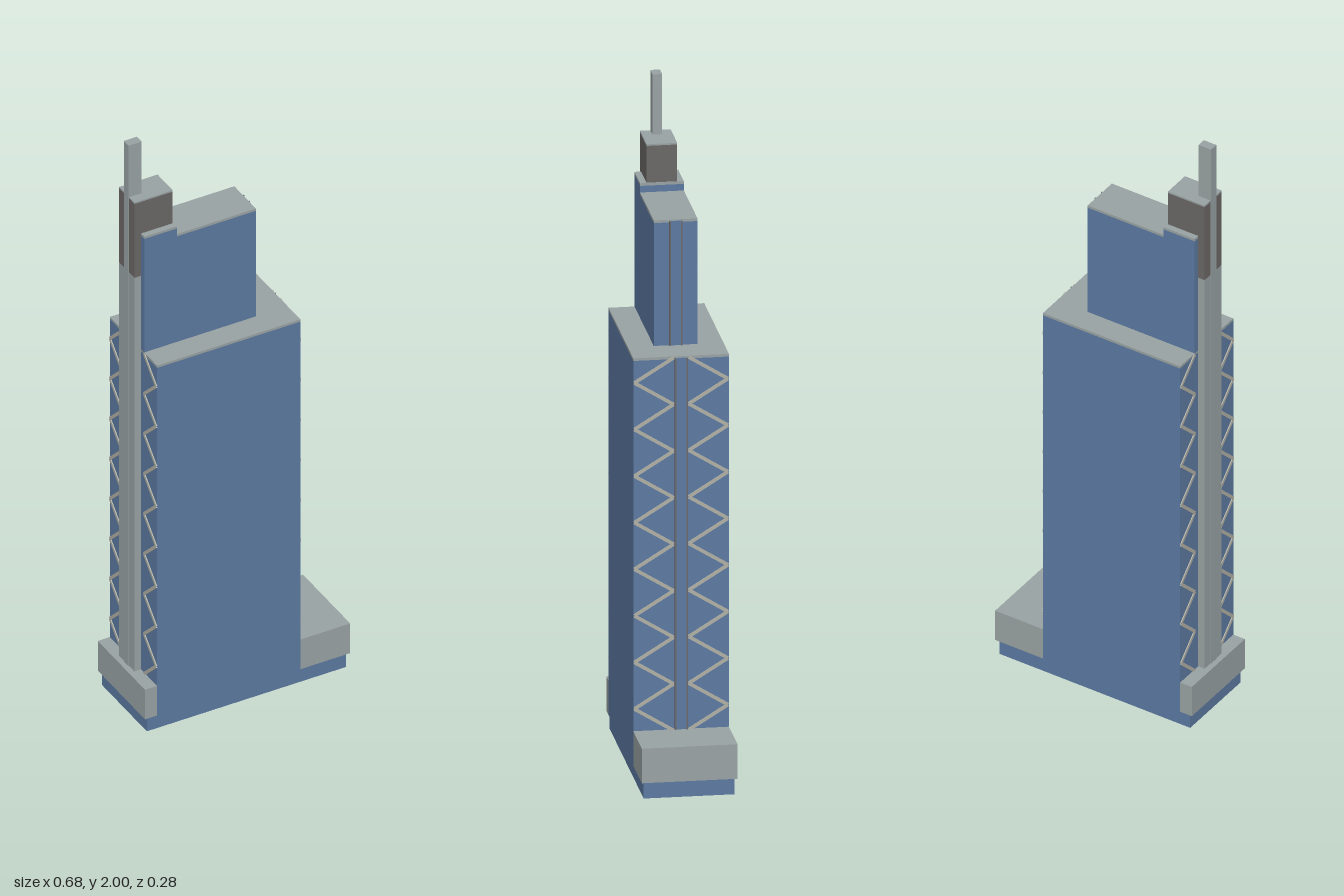
import * as THREE from 'three';

const mat = (name, color) => {
  const m = new THREE.MeshStandardMaterial({ color });
  m.name = name;
  return m;
};

export function createModel() {
  const glass = mat('blue glass', 0x5c7aa2);
  const stone = mat('pale grey', 0x9aa3a4);
  const dark = mat('dark grey', 0x6b6866);
  const steel = mat('light steel', 0xb2b1a6);

  const model = new THREE.Group();
  model.name = 'skyscraper';

  // Box given by its limits on each axis
  const box = (name, material, [x0, x1], [y0, y1], [z0, z1], parent = model) => {
    const mesh = new THREE.Mesh(new THREE.BoxGeometry(x1 - x0, y1 - y0, z1 - z0), material);
    mesh.position.set((x0 + x1) / 2, (y0 + y1) / 2, (z0 + z1) / 2);
    mesh.name = name;
    parent.add(mesh);
    return mesh;
  };
  const sym = (h) => [-h, h];

  // Open-bottomed ground floor: perimeter walls and two partitions
  const base = new THREE.Group();
  base.name = 'groundFloor';
  model.add(base);
  for (const s of [-1, 1]) {
    const z = [s * 0.133, s * 0.125].sort((a, b) => a - b);
    box('longWall', glass, sym(0.33), [0, 0.05], z, base);
  }
  for (const x of [-0.33, -0.296, 0.165, 0.322]) {
    box('crossWall', glass, [x, x + 0.008], [0, 0.05], sym(0.125), base);
  }

  // Podium blocks at both ends
  box('frontPodium', stone, [0.175, 0.34], [0.05, 0.155], sym(0.14));
  box('rearPodium', stone, [-0.34, -0.3], [0.05, 0.155], sym(0.14));

  // Main shaft and setback tower, each with a thin roof slab
  const block = (name, x, y, h) => {
    box(name, glass, x, [y[0], y[1] - 0.008], sym(h));
    box(name + 'Roof', stone, x, [y[1] - 0.008, y[1]], sym(h));
  };
  block('mainTower', [-0.3, 0.175], [0.05, 1.29], 0.14);
  block('upperTower', [-0.192, 0.07], [1.29, 1.672], 0.064);
  block('upperTowerCore', [-0.3, -0.192], [1.29, 1.7], 0.064);

  // Central strip with narrow rails on the +x faces
  const strip = (x, y0, y1) => {
    box('centreStrip', glass, [x, x + 0.003], [y0, y1], sym(0.018));
    for (const s of [-1, 1]) {
      box('stripRail', dark, [x, x + 0.006], [y0, y1], [s * 0.017 - 0.002, s * 0.017 + 0.002]);
    }
  };
  strip(0.175, 0.155, 1.285);
  strip(0.07, 1.29, 1.668);

  // Zigzag bracing on both narrow faces
  const braces = new THREE.Group();
  braces.name = 'zigzagBracing';
  model.add(braces);
  const step = 0.0709;
  const zigzag = (x, inner, side) => {
    const outer = 0.137;
    const run = outer - inner;
    const length = Math.hypot(run, step);
    for (let i = 0; i < 16; i++) {
      const bar = new THREE.Mesh(new THREE.BoxGeometry(0.006, 0.01, length), steel);
      const slope = Math.atan2(step, run) * (i % 2 ? -1 : 1) * side;
      bar.position.set(x, 0.155 + (i + 0.5) * step - 0.003, side * (inner + outer) / 2);
      bar.rotation.x = -slope;
      bar.name = 'brace';
      braces.add(bar);
    }
  };
  for (const side of [-1, 1]) {
    zigzag(0.175, 0.022, side);
    zigzag(-0.3, 0.065, side);
  }

  // Rear spine, dark crown hanging over its top, and the mast
  box('rearSpine', stone, [-0.322, -0.3], [0.155, 1.55], sym(0.045));
  box('crownBack', dark, [-0.322, -0.3], [1.55, 1.7], sym(0.045));
  box('crown', dark, [-0.322, -0.195], [1.7, 1.812], sym(0.045));
  box('crownRoof', stone, [-0.322, -0.195], [1.812, 1.817], sym(0.045));
  box('mast', stone, [-0.324, -0.281], [1.817, 2], sym(0.014));
  box('mastRib', stone, [-0.324, -0.318], [0.155, 1.817], sym(0.014));

  return model;
}
